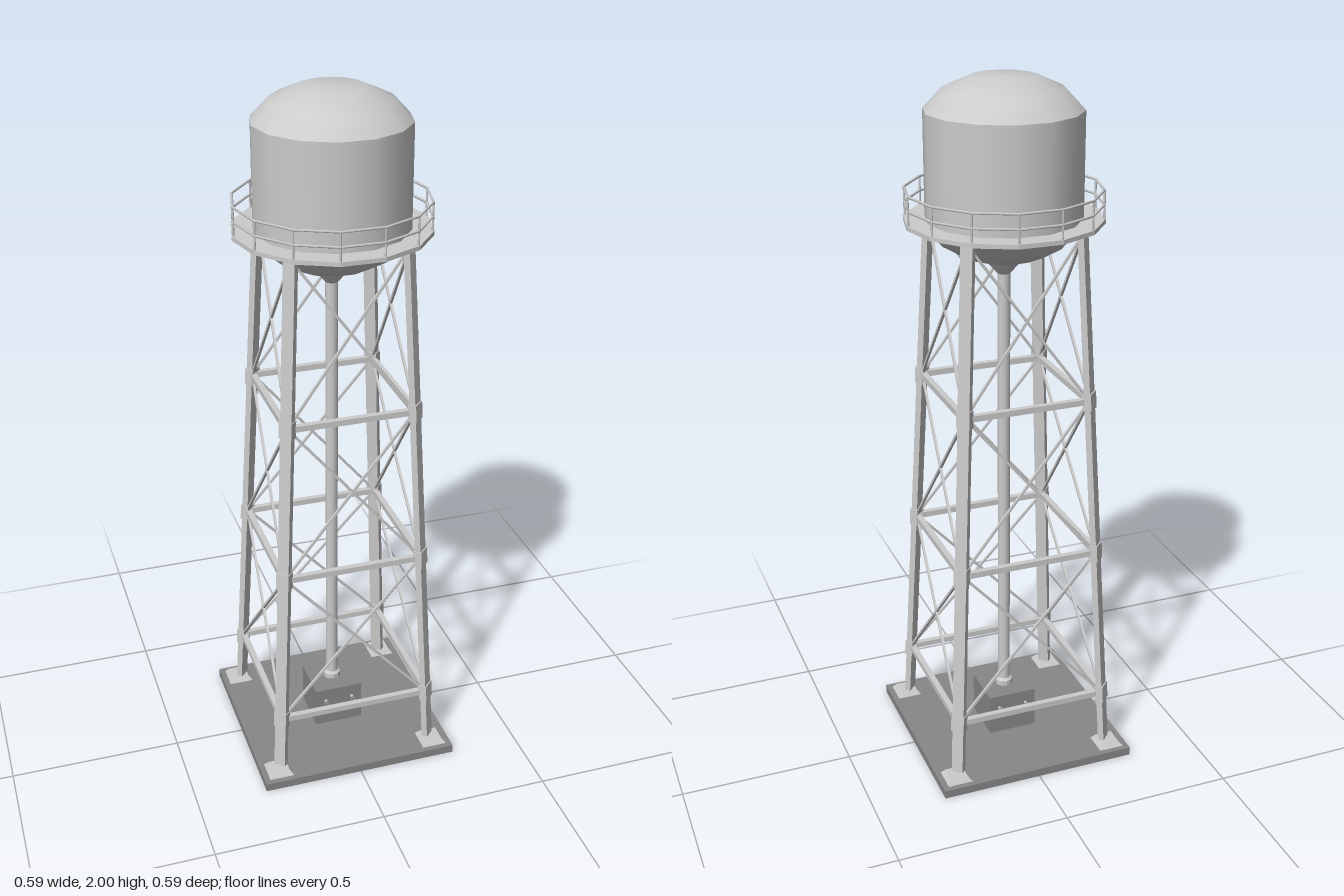
import * as THREE from 'three';

const grey = new THREE.MeshStandardMaterial({ color: 0xcccccc, side: THREE.DoubleSide });
const flatGrey = new THREE.MeshStandardMaterial({ color: 0xcccccc, flatShading: true });
const darkGrey = new THREE.MeshStandardMaterial({ color: 0x888888 });
const SIDES = 14;
const V = (x, y, z) => new THREE.Vector3(x, y, z);

function add(parent, name, geometry, material, x = 0, y = 0, z = 0) {
  const mesh = new THREE.Mesh(geometry, material);
  mesh.name = name;
  mesh.position.set(x, y, z);
  parent.add(mesh);
  return mesh;
}

// Rectangular bar from a to b; its depth points along the outward direction
function beam(parent, name, a, b, width, depth, outward) {
  const up = b.clone().sub(a);
  const length = up.length();
  up.normalize();
  const side = up.clone().cross(outward).normalize();
  const out = side.clone().cross(up);
  const mesh = add(parent, name, new THREE.BoxGeometry(width, length, depth), flatGrey);
  mesh.quaternion.setFromRotationMatrix(new THREE.Matrix4().makeBasis(side, up, out));
  mesh.position.copy(a).lerp(b, 0.5);
  return mesh;
}

function lathe(parent, name, points, sides, material = grey) {
  const profile = points.map(([r, y]) => new THREE.Vector2(r, y));
  return add(parent, name, new THREE.LatheGeometry(profile, sides, Math.PI / 2), material);
}

// Centre line of a leg at a given height, for corner signs sx and sz
function legPoint(sx, sz, y) {
  const r = 0.234 - 0.0455 * y;
  return V(sx * r, y, sz * r);
}

function createFoundation(root) {
  add(root, 'baseSlab', new THREE.BoxGeometry(0.588, 0.025, 0.588), darkGrey, 0, 0.0125, 0);
  for (const sx of [-1, 1]) for (const sz of [-1, 1]) {
    const footing = new THREE.CylinderGeometry(0.036, 0.053, 0.016, 4).rotateY(Math.PI / 4);
    add(root, 'footing', footing, flatGrey, sx * 0.241, 0.032, sz * 0.241);
  }
}

function createTower(root) {
  const tower = new THREE.Group();
  tower.name = 'tower';
  root.add(tower);
  const levels = [0.2, 0.667, 1.13, 1.6];
  const corners = [[1, 1], [1, -1], [-1, -1], [-1, 1]];

  corners.forEach(([sx, sz], i) => {
    // Leg and its joint plates
    const diagonal = V(sx, 0, sz);
    beam(tower, 'leg', legPoint(sx, sz, 0.03), legPoint(sx, sz, 1.615), 0.035, 0.018, diagonal);
    for (const y of levels.slice(0, 3)) {
      beam(tower, 'jointPlate', legPoint(sx, sz, y - 0.025), legPoint(sx, sz, y + 0.025), 0.04, 0.025, diagonal);
    }

    // Bracing of the side between this corner and the next
    const [tx, tz] = corners[(i + 1) % 4];
    const face = V(sx + tx, 0, sz + tz).normalize();
    levels.forEach((y, k) => {
      if (k === 3) return;
      beam(tower, 'crossBar', legPoint(sx, sz, y), legPoint(tx, tz, y), 0.017, 0.017, face);
      const top = levels[k + 1];
      beam(tower, 'diagonalRod', legPoint(sx, sz, y), legPoint(tx, tz, top), 0.007, 0.007, face);
      beam(tower, 'diagonalRod', legPoint(tx, tz, y), legPoint(sx, sz, top), 0.007, 0.007, face);
    });
  });
}

function createTank(root) {
  const tank = new THREE.Group();
  tank.name = 'tank';
  root.add(tank);
  lathe(tank, 'tankBowl', [[0, 1.497], [0.05, 1.5], [0.12, 1.524], [0.175, 1.556], [0.215, 1.6]], SIDES);
  lathe(tank, 'tankWall', [[0.215, 1.6], [0.215, 1.91]], SIDES);
  lathe(tank, 'tankDome', [[0.215, 1.91], [0.165, 1.963], [0.09, 1.996], [0, 2]], SIDES);
}

function createWalkway(root) {
  const walkway = new THREE.Group();
  walkway.name = 'walkway';
  root.add(walkway);
  lathe(walkway, 'walkwayFloor',
    [[0.208, 1.61], [0.274, 1.61], [0.274, 1.622], [0.208, 1.622], [0.208, 1.61]], SIDES, flatGrey);

  // Railing
  for (const y of [1.66, 1.7]) {
    const ring = new THREE.TorusGeometry(0.269, 0.0035, 6, SIDES).rotateX(Math.PI / 2);
    add(walkway, 'rail', ring, grey, 0, y, 0);
  }
  for (let i = 0; i < SIDES; i++) {
    const a = (i / SIDES) * Math.PI * 2;
    const post = new THREE.CylinderGeometry(0.003, 0.003, 0.082, 6);
    add(walkway, 'railPost', post, grey, 0.269 * Math.cos(a), 1.661, 0.269 * Math.sin(a));
  }
}

function createPiping(root) {
  // Riser with a flange at the foot and a funnel under the bowl
  lathe(root, 'riserPipe', [[0.018, 0.14], [0.018, 1.5]], 12);
  lathe(root, 'riserFlange', [[0.026, 0.15], [0.026, 0.166], [0.018, 0.172]], 12, flatGrey);
  lathe(root, 'riserFunnel', [[0.018, 1.465], [0.048, 1.5], [0.048, 1.505]], 12);

  // Pump housing with valves at the front and back
  add(root, 'pumpHousing', new THREE.BoxGeometry(0.146, 0.127, 0.146), darkGrey, 0, 0.0865, 0);
  for (const sx of [-1, 1]) for (const sz of [-1, 1]) {
    const stem = new THREE.CylinderGeometry(0.005, 0.005, 0.045, 8).rotateX(Math.PI / 2);
    add(root, 'valveStem', stem, grey, sx * 0.042, 0.11, sz * 0.09);
    const disc = new THREE.CylinderGeometry(0.011, 0.011, 0.012, 8).rotateX(Math.PI / 2);
    add(root, 'valveCollar', disc, darkGrey, sx * 0.042, 0.11, sz * 0.095);
  }
}

export function createModel() {
  const root = new THREE.Group();
  root.name = 'waterTower';
  createFoundation(root);
  createTower(root);
  createTank(root);
  createWalkway(root);
  createPiping(root);
  return root;
}
